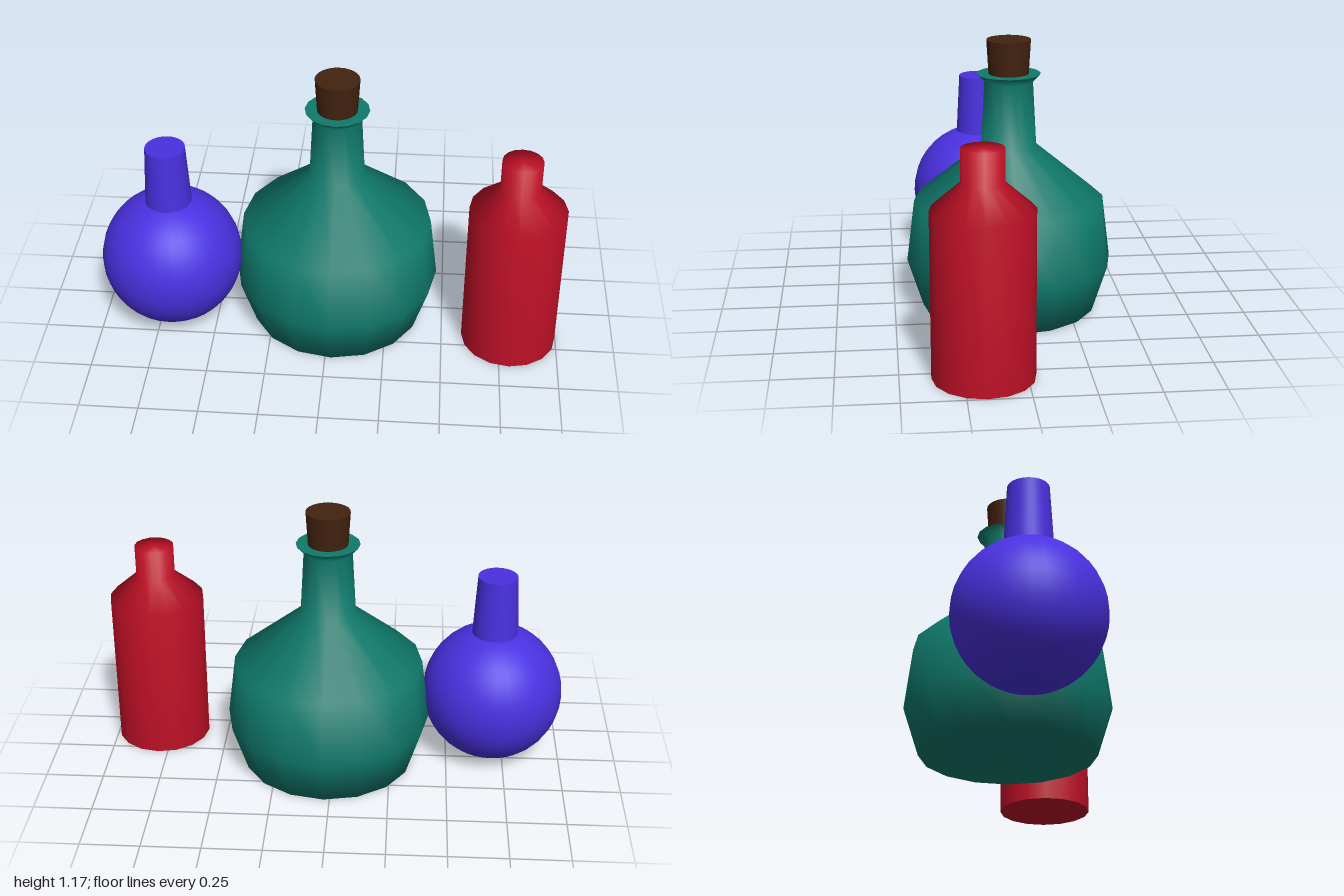
import * as THREE from 'three';

const paint = (name, color) => {
  const m = new THREE.MeshStandardMaterial({ color });
  m.name = name;
  return m;
};

export function createModel() {
  const blue = paint('blue glass', 0x4a30e0);
  const green = paint('green glass', 0x0f7a6c);
  const red = paint('red glass', 0xbd1026);
  const brown = paint('brown cork', 0x42220f);

  const model = new THREE.Group();
  model.name = 'bottles';

  const bottle = (name, x, z) => {
    const g = new THREE.Group();
    g.name = name;
    g.position.set(x, 0, z);
    model.add(g);
    return g;
  };
  const add = (parent, name, geometry, material, y = 0) => {
    const mesh = new THREE.Mesh(geometry, material);
    mesh.name = name;
    mesh.position.y = y;
    parent.add(mesh);
  };
  const lathe = (points) =>
    new THREE.LatheGeometry(points.map(([r, y]) => new THREE.Vector2(r, y)), 16);

  // Round flask: ball with a tapered neck
  const flask = bottle('roundFlask', -0.695, 0.08);
  add(flask, 'flaskBody', new THREE.SphereGeometry(0.305, 32, 20), blue, 0.305);
  add(flask, 'flaskNeck', new THREE.CylinderGeometry(0.085, 0.1, 0.28, 32), blue, 0.72);

  // Wide decanter with flared lip and cork
  const decanter = bottle('decanter', 0.025, 0);
  add(decanter, 'decanterBody', lathe([
    [0, 0], [0.375, 0], [0.442, 0.21], [0.408, 0.48], [0.118, 0.72], [0.103, 0.995], [0.136, 1.03],
  ]), green);
  add(decanter, 'decanterLip', lathe([[0.136, 1.03], [0.07, 1.03]]), green);
  add(decanter, 'cork', new THREE.CylinderGeometry(0.094, 0.083, 0.185, 24), brown, 1.0825);

  // Tall straight bottle with a shallow hollow underneath
  const tall = bottle('tallBottle', 0.793, 0.17);
  add(tall, 'tallBody', lathe([
    [0.205, 0], [0.205, 0.685], [0.085, 0.79], [0.085, 0.925], [0, 0.925],
  ]), red);
  add(tall, 'tallBase', lathe([[0, 0.05], [0.205, 0]]), red);

  return model;
}
